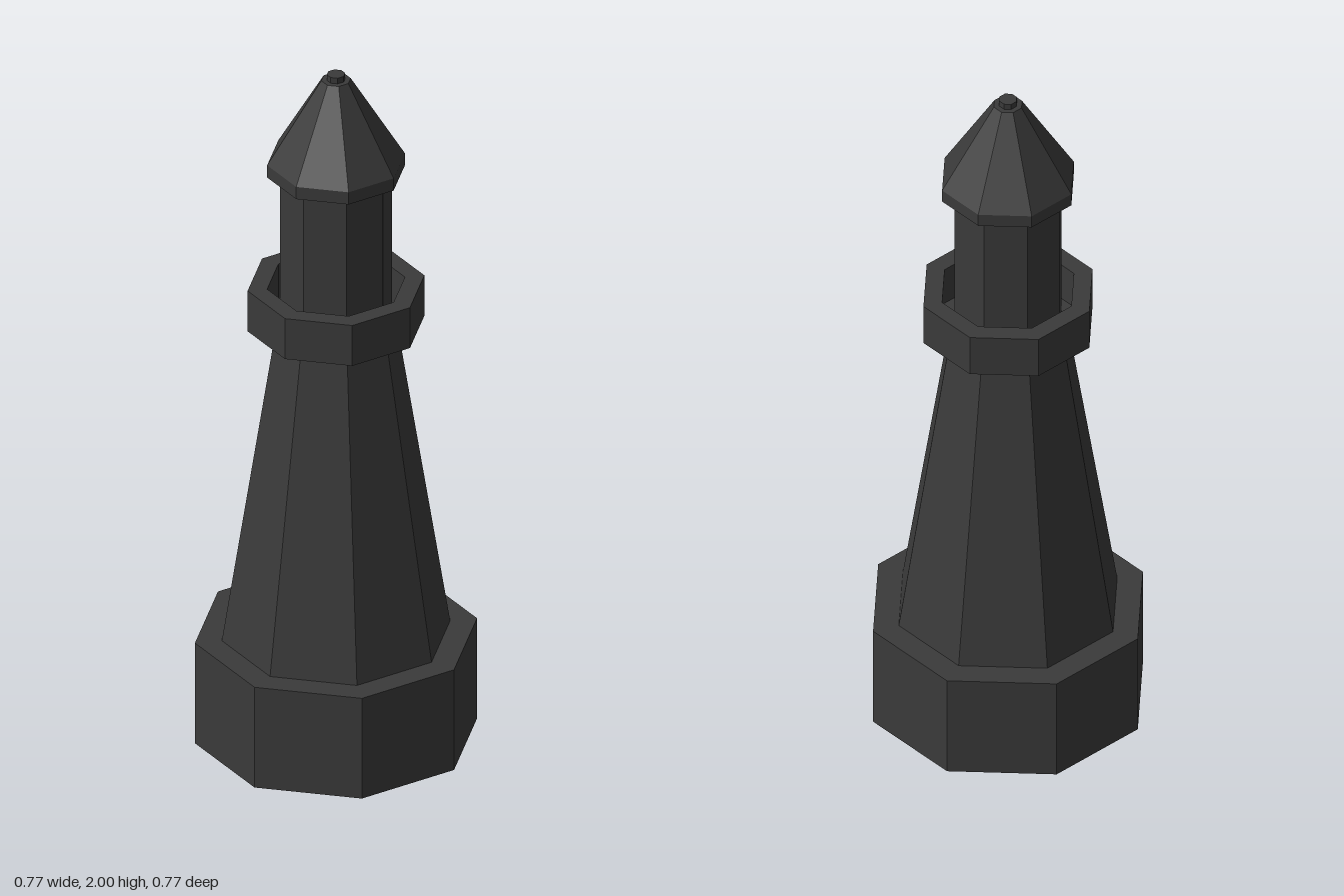
import * as THREE from 'three';

const SIDES = 8;

export function createModel() {
  const group = new THREE.Group();
  group.name = 'lighthouse';
  const material = new THREE.MeshStandardMaterial({
    color: 0x3a3a3a, flatShading: true, side: THREE.DoubleSide,
  });

  // Turns a [radius, height] profile, listed from bottom to top, into an octagonal shell
  const addPart = (name, profile) => {
    const points = profile.map(([r, y]) => new THREE.Vector2(r, y));
    const mesh = new THREE.Mesh(new THREE.LatheGeometry(points, SIDES), material);
    mesh.name = name;
    group.add(mesh);
  };

  // Hollow plinth, open underneath, with a flat ledge around the tower
  addPart('base', [[0.383, 0], [0.383, 0.305], [0.31, 0.305]]);

  // Tapering shaft
  addPart('tower', [[0.31, 0.305], [0.163, 1.24]]);

  // Gallery with a thick parapet around a sunken walkway
  addPart('gallery', [
    [0.163, 1.24], [0.24, 1.24], [0.24, 1.363],
    [0.187, 1.363], [0.187, 1.25], [0.152, 1.25],
  ]);

  // Lantern room
  addPart('lantern', [[0.152, 1.25], [0.152, 1.703]]);

  // Roof with a flat underside and a short vertical eave
  addPart('roof', [[0.152, 1.703], [0.187, 1.703], [0.187, 1.74], [0.04, 1.983], [0.025, 1.983]]);

  // Small cap at the peak
  addPart('finial', [[0.025, 1.983], [0.025, 2], [0, 2]]);

  return group;
}
